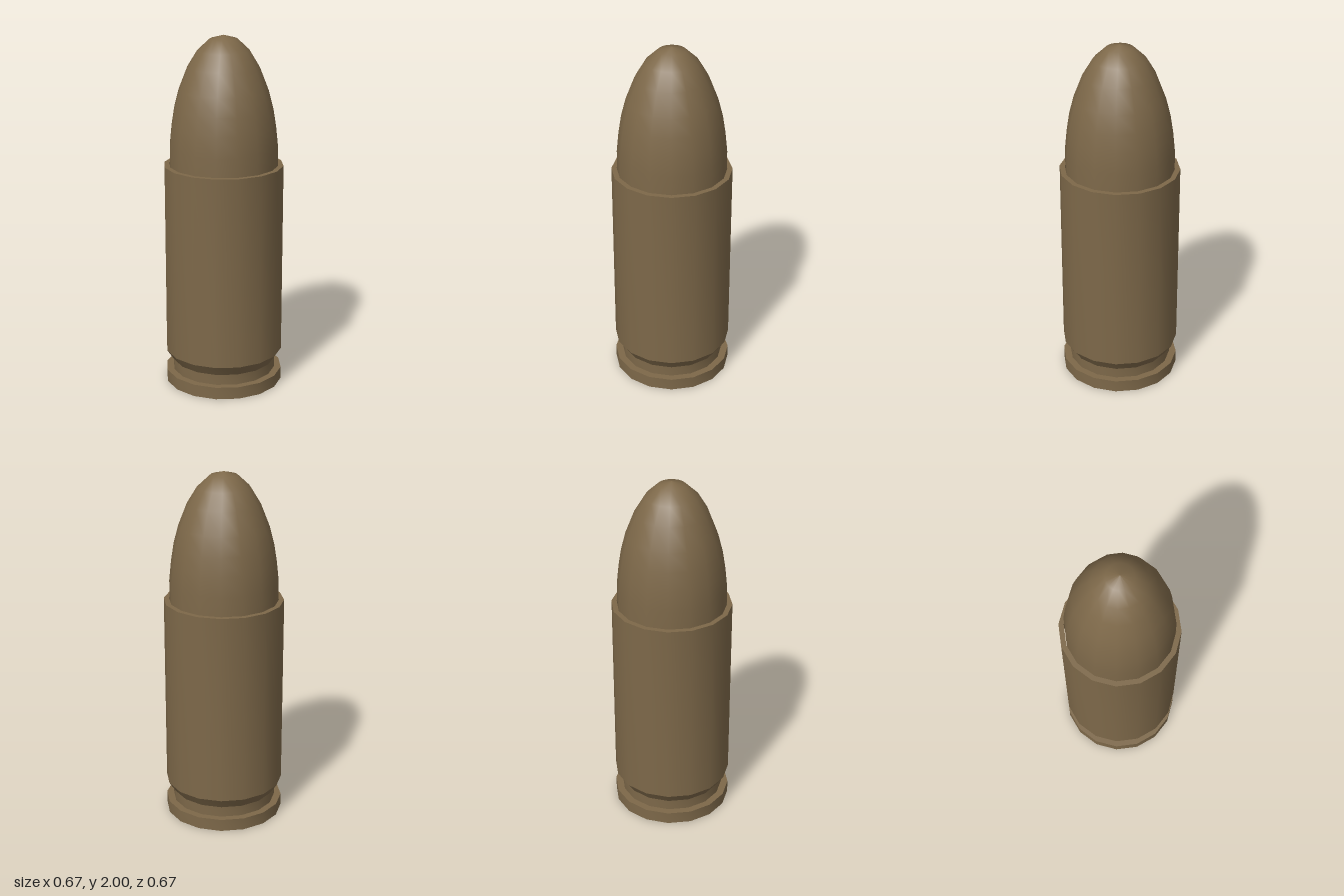
import * as THREE from 'three';
import { toCreasedNormals } from 'three/addons/utils/BufferGeometryUtils.js';

const SIDES = 16;
const PRIMER_RADIUS = 0.163;

export function createModel() {
  const group = new THREE.Group();
  group.name = 'cartridge';

  const brass = new THREE.MeshStandardMaterial({ color: 0x7d6849 });
  brass.name = 'brass';
  const steel = new THREE.MeshStandardMaterial({ color: 0xa3a3a3 });
  steel.name = 'steel';

  // Turned part from [radius, height] pairs, listed bottom to top
  const turned = (pairs) =>
    new THREE.LatheGeometry(pairs.map(([r, y]) => new THREE.Vector2(r, y)), SIDES);

  const add = (name, geometry, material) => {
    const mesh = new THREE.Mesh(geometry, material);
    mesh.name = name;
    group.add(mesh);
    return mesh;
  };

  // Casing: rim, extractor groove, taper, straight wall and open mouth
  const casing = turned([
    [PRIMER_RADIUS, 0], [0.335, 0], [0.335, 0.07], [0.295, 0.07],
    [0.295, 0.13], [0.335, 0.19], [0.335, 1.28], [0.306, 1.28], [0.306, 1.2],
  ]);
  add('casing', toCreasedNormals(casing, THREE.MathUtils.degToRad(30)), brass);

  // Bullet: short straight shank and rounded nose
  add('bullet', turned([
    [0.303, 1.2], [0.303, 1.385], [0.291, 1.5], [0.275, 1.6], [0.249, 1.7],
    [0.2, 1.825], [0.145, 1.915], [0.075, 1.98], [0, 2],
  ]), brass);

  // Primer: disc flush with the base
  const primer = add('primer', new THREE.CircleGeometry(PRIMER_RADIUS, SIDES), steel);
  primer.rotation.x = Math.PI / 2;

  return group;
}
